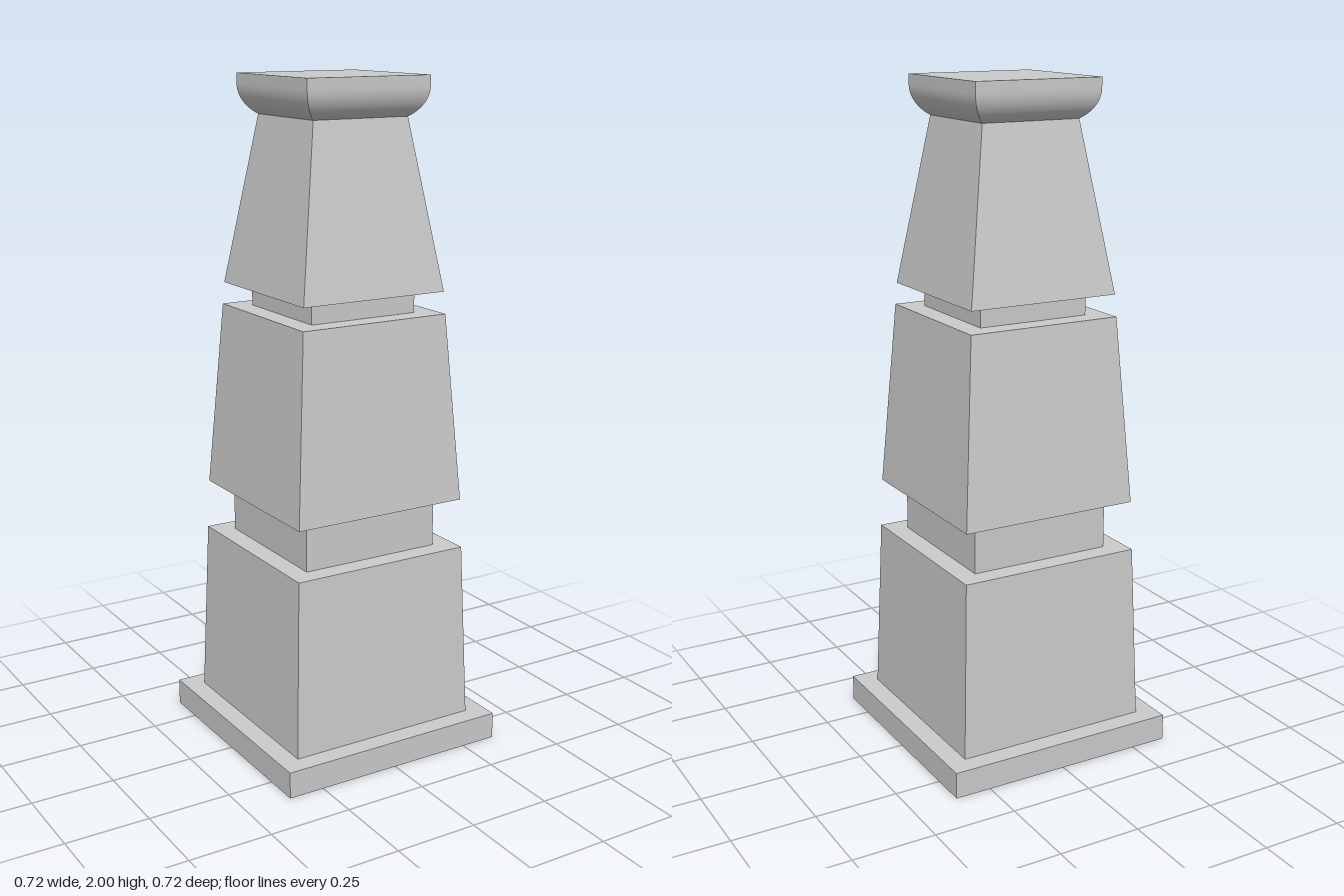
import * as THREE from 'three';
import { toCreasedNormals } from 'three/addons/utils/BufferGeometryUtils.js';

const material = new THREE.MeshStandardMaterial({ color: 0xcccccc });

// Square solid swept from a profile of [half width, height], bottom to top
function squareSolid(name, profile) {
  const points = profile.map(([half, y]) => new THREE.Vector2(half * Math.SQRT2, y));
  points.unshift(new THREE.Vector2(0, profile[0][1]));
  points.push(new THREE.Vector2(0, profile[profile.length - 1][1]));
  const geometry = new THREE.LatheGeometry(points, 4).rotateY(Math.PI / 4);
  const mesh = new THREE.Mesh(toCreasedNormals(geometry, 0.5), material);
  mesh.name = name;
  return mesh;
}

export function createModel() {
  const group = new THREE.Group();
  group.name = 'steppedPillar';

  // Plinth, three tapering tiers and the recessed necks between them:
  // name, bottom half width, top half width, bottom y, top y
  const blocks = [
    ['plinth', 0.36, 0.36, 0, 0.08],
    ['lowerTier', 0.3, 0.282, 0.08, 0.615],
    ['lowerNeck', 0.22, 0.22, 0.615, 0.765],
    ['middleTier', 0.277, 0.238, 0.765, 1.325],
    ['upperNeck', 0.173, 0.173, 1.325, 1.39],
    ['upperTier', 0.234, 0.155, 1.39, 1.885],
  ];
  for (const [name, bottom, top, y0, y1] of blocks) {
    group.add(squareSolid(name, [[bottom, y0], [top, y1]]));
  }

  // Cap: a convex rounded moulding that ends in a short upright lip
  const radius = 0.103, lipY = 1.97, sweep = 0.97, steps = 12;
  const cap = [];
  for (let i = 0; i <= steps; i++) {
    const a = sweep * (1 - i / steps);
    cap.push([0.2 - radius * (1 - Math.cos(a)), lipY - radius * Math.sin(a)]);
  }
  cap.push([0.2, 2]);
  group.add(squareSolid('cap', cap));

  return group;
}
